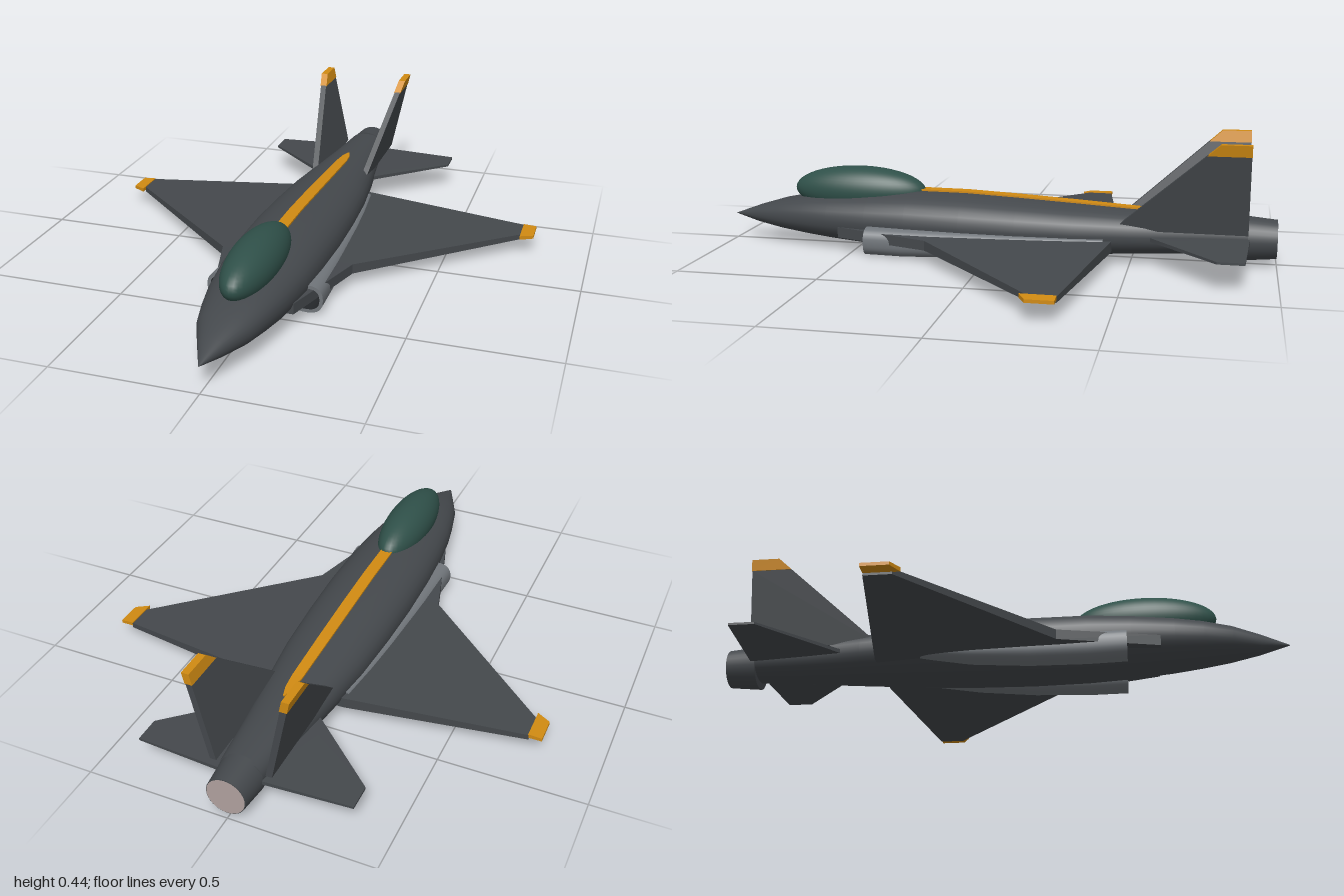
import * as THREE from 'three';
import { ConvexGeometry } from 'three/addons/geometries/ConvexGeometry.js';

function material(name, color, side = THREE.FrontSide) {
  const m = new THREE.MeshStandardMaterial({ color, side });
  m.name = name;
  return m;
}

// Skin over superelliptic rings; each section is [z, centreX, centreY, radiusX, radiusY].
function loft(sections, power = 1, capFront = false, capBack = false, sides = 32) {
  const pos = [], index = [];
  const bend = v => Math.sign(v) * Math.abs(v) ** power;
  const ring = ([z, cx, cy, rx, ry]) => {
    const start = pos.length / 3;
    for (let j = 0; j < sides; j++) {
      const a = (j / sides) * Math.PI * 2;
      pos.push(cx + rx * bend(Math.cos(a)), cy + ry * bend(Math.sin(a)), z);
    }
    return start;
  };
  const starts = sections.map(ring);
  for (let i = 0; i < starts.length - 1; i++) {
    for (let j = 0; j < sides; j++) {
      const k = (j + 1) % sides;
      const a = starts[i] + j, b = starts[i] + k, c = starts[i + 1] + j, d = starts[i + 1] + k;
      index.push(a, c, b, b, c, d);
    }
  }
  const cap = (s, front) => {
    const start = ring(s), centre = pos.length / 3;
    pos.push(s[1], s[2], s[0]);
    for (let j = 0; j < sides; j++) {
      const a = start + j, b = start + (j + 1) % sides;
      index.push(centre, front ? a : b, front ? b : a);
    }
  };
  if (capFront) cap(sections[0], true);
  if (capBack) cap(sections[sections.length - 1], false);
  const g = new THREE.BufferGeometry();
  g.setAttribute('position', new THREE.Float32BufferAttribute(pos, 3));
  g.setIndex(index);
  g.computeVertexNormals();
  return g;
}

// Flat-sided slab from points [x, z, bottomY, topY], mirrored by side.
function slab(points, side) {
  return new ConvexGeometry(points.flatMap(([x, z, y0, y1]) => [
    new THREE.Vector3(x * side, y0, z), new THREE.Vector3(x * side, y1, z)]));
}

// Leaning fin slab from points [y, z]; x grows with height.
function finSlab(points, side, half) {
  return new ConvexGeometry(points.flatMap(([y, z]) => [-half, half].map(
    h => new THREE.Vector3(side * (0.112 + (y - 0.2) * 0.215 + h), y, z))));
}

export function createModel() {
  const model = new THREE.Group();
  model.name = 'jet';
  const body = material('bodyGrey', 0x44484c);
  const duct = material('intakeGrey', 0x70757a);
  const dark = material('intakeDark', 0x24272a);
  const glass = material('canopyGreen', 0x2f5049);
  const orange = material('trimOrange', 0xd08a12);
  const glow = material('exhaustPink', 0xb0a19e);
  const add = (name, geometry, mat, parent = model) => {
    const m = new THREE.Mesh(geometry, mat);
    m.name = name;
    parent.add(m);
    return m;
  };

  // Fuselage: [z, bottom, top, half width]
  const hull = [
    [1, 0.099, 0.101, 0.001], [0.9, 0.073, 0.138, 0.046], [0.8, 0.056, 0.168, 0.09],
    [0.7, 0.042, 0.188, 0.115], [0.6, 0.031, 0.2, 0.135], [0.45, 0.018, 0.213, 0.153],
    [0.3, 0.01, 0.221, 0.162], [0.1, 0.007, 0.22, 0.165], [-0.1, 0.01, 0.211, 0.16],
    [-0.3, 0.018, 0.2, 0.149], [-0.5, 0.028, 0.188, 0.125], [-0.7, 0.038, 0.178, 0.098],
    [-0.9, 0.048, 0.17, 0.076],
  ];
  add('fuselage', loft(hull.map(([z, b, t, w]) => [z, 0, (b + t) / 2, w, (t - b) / 2]),
    0.9, false, true), body);

  // Canopy bubble
  const canopy = new THREE.SphereGeometry(1, 40, 24);
  canopy.scale(0.085, 0.087, 0.25);
  add('canopy', canopy, glass).position.set(0, 0.213, 0.505);

  // Spine stripe follows the top line and ends in a point
  const topAt = z => {
    const i = hull.findIndex(s => s[0] <= z);
    const [a, b] = [hull[i - 1], hull[i]];
    return THREE.MathUtils.lerp(a[2], b[2], (a[0] - z) / (a[0] - b[0]));
  };
  const stripe = new THREE.Group();
  stripe.name = 'spineStripe';
  model.add(stripe);
  const stops = [[0.27, 0.022], [0.1, 0.022], [-0.1, 0.022], [-0.3, 0.021],
    [-0.5, 0.019], [-0.56, 0.014], [-0.6, 0.003]];
  for (let i = 0; i < stops.length - 1; i++) {
    const pts = [stops[i], stops[i + 1]].flatMap(([z, w]) =>
      [-w, w].map(x => [x, z, topAt(z) - 0.003, topAt(z) + 0.005]));
    add('stripeSection', slab(pts, 1), orange, stripe);
  }

  // Exhaust nozzle and its end face
  const nozzle = new THREE.CylinderGeometry(0.078, 0.068, 0.109, 32);
  nozzle.rotateX(Math.PI / 2);
  add('nozzle', nozzle, body).position.set(0, 0.098, -0.9445);
  const disc = new THREE.CircleGeometry(0.066, 32);
  disc.rotateY(Math.PI);
  add('exhaustFace', disc, glow).position.set(0, 0.098, -1);

  for (const side of [1, -1]) {
    const half = new THREE.Group();
    half.name = side > 0 ? 'leftSide' : 'rightSide';
    model.add(half);

    // Wing, leading root extension and coloured tip
    add('wing', slab([
      [0.08, 0.2, 0.055, 0.094], [0.24, 0.2, 0.055, 0.09], [0.755, -0.255, 0.058, 0.077],
      [0.755, -0.345, 0.058, 0.077], [0.14, -0.438, 0.055, 0.094], [0.08, -0.44, 0.055, 0.094],
    ], side), body, half);
    add('wingRoot', slab([
      [0.08, 0.55, 0.06, 0.098], [0.14, 0.55, 0.06, 0.098],
      [0.24, 0.2, 0.055, 0.09], [0.08, 0.2, 0.055, 0.094],
    ], side), body, half);
    add('wingTip', slab([
      [0.753, -0.23, 0.066, 0.08], [0.8, -0.255, 0.066, 0.077],
      [0.8, -0.345, 0.066, 0.077], [0.753, -0.345, 0.066, 0.08],
    ], side), orange, half);

    // Intake nacelle with lip and dark tunnel
    const s = (z, x, y, rx, ry) => [z, x * side, y, rx, ry];
    add('nacelle', loft([
      s(0.435, 0.148, 0.06, 0.056, 0.05), s(0.3, 0.145, 0.058, 0.054, 0.051),
      s(0.1, 0.138, 0.06, 0.053, 0.048), s(-0.1, 0.132, 0.067, 0.048, 0.039),
      s(-0.25, 0.13, 0.077, 0.036, 0.027), s(-0.41, 0.13, 0.088, 0.016, 0.012),
    ], 0.8, false, true), duct, half);
    add('intakeLip', loft([
      s(0.435, 0.148, 0.06, 0.044, 0.038), s(0.435, 0.148, 0.06, 0.056, 0.05),
    ], 0.8), duct, half);
    add('intakeTunnel', loft([
      s(0.36, 0.148, 0.06, 0.04, 0.034), s(0.435, 0.148, 0.06, 0.044, 0.038),
    ], 0.8, true), dark, half);

    // Tailplane
    add('tailplane', slab([
      [0.05, -0.57, 0.095, 0.109], [0.115, -0.57, 0.095, 0.109], [0.145, -0.65, 0.095, 0.109],
      [0.375, -0.8, 0.098, 0.106], [0.375, -0.89, 0.098, 0.106], [0.05, -0.908, 0.095, 0.109],
    ], side), body, half);

    // Leaning tail fin and coloured cap
    add('tailFin', finSlab([[0.13, -0.44], [0.18, -0.495], [0.412, -0.757],
      [0.412, -0.9], [0.13, -0.9]], side, 0.011), body, half);
    add('finCap', finSlab([[0.41, -0.755], [0.45, -0.8], [0.45, -0.901], [0.41, -0.901]],
      side, 0.013), orange, half);
  }
  return model;
}
